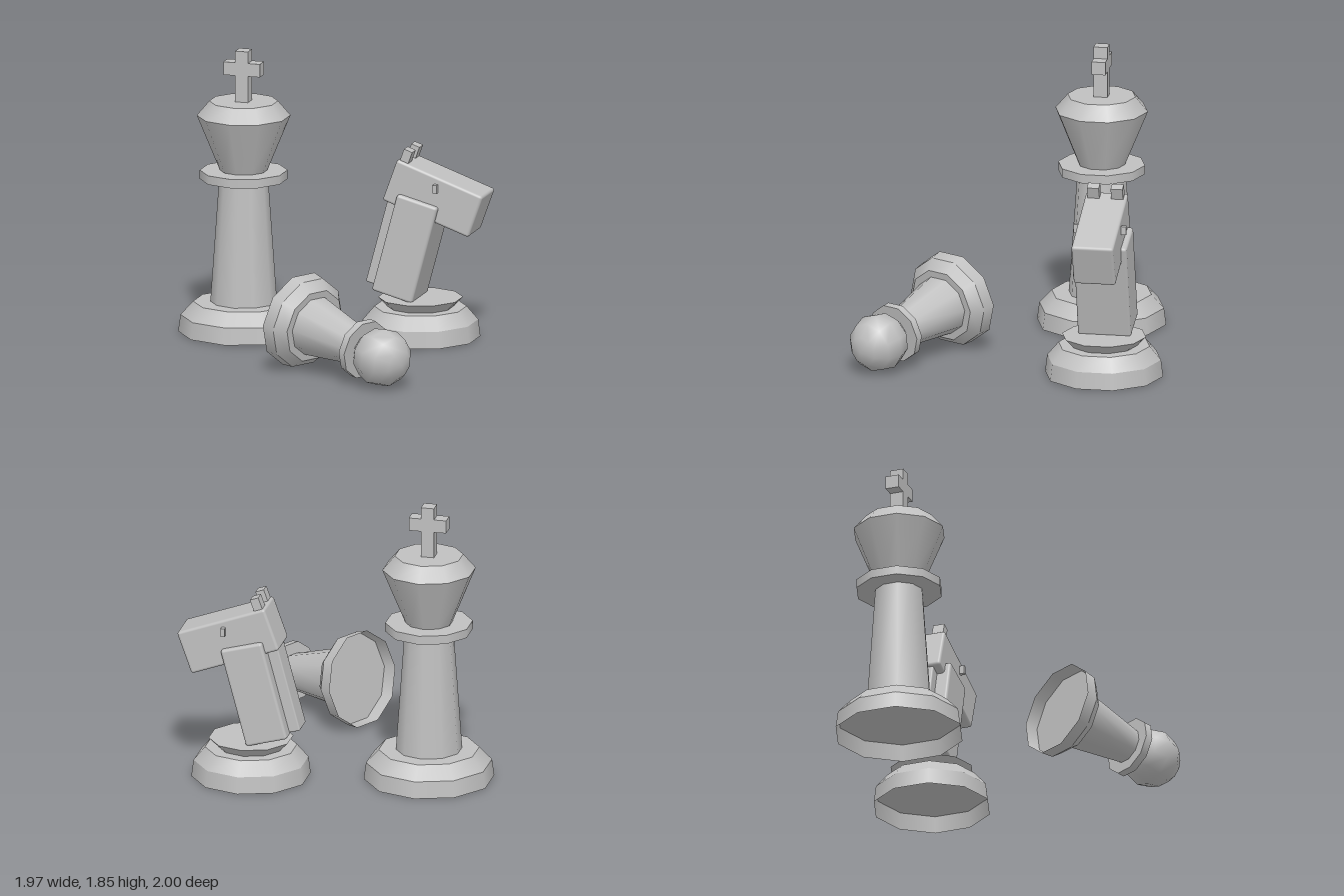
import * as THREE from 'three';
import { RoundedBoxGeometry } from 'three/addons/geometries/RoundedBoxGeometry.js';

const stone = new THREE.MeshStandardMaterial({ color: 0xc0c0c0, side: THREE.DoubleSide });
stone.name = 'stone grey';

function add(parent, name, geometry, x = 0, y = 0, z = 0, tilt = 0) {
  const mesh = new THREE.Mesh(geometry, stone);
  mesh.name = name;
  mesh.position.set(x, y, z);
  mesh.rotation.z = tilt;
  parent.add(mesh);
  return mesh;
}

// Ten-sided turned section between two heights
function turned(parent, name, y0, r0, y1, r1, open = false) {
  add(parent, name, new THREE.CylinderGeometry(r1, r0, y1 - y0, 10, 1, open), 0, (y0 + y1) / 2);
}

// Foot of a piece: nearly upright rim, hollow underneath, with a sloping shoulder
function foot(parent, r, rimHeight, height) {
  turned(parent, 'footRim', 0, r, rimHeight, r * 0.965, true);
  turned(parent, 'footShoulder', rimHeight, r * 0.965, height, r * 0.772);
}

function piece(parent, name, x, y, z) {
  const group = new THREE.Group();
  group.name = name;
  group.position.set(x, y, z);
  parent.add(group);
  return group;
}

export function createModel() {
  const model = new THREE.Group();
  model.name = 'chessPieces';

  // King
  const king = piece(model, 'king', -0.588, 0, -0.407);
  foot(king, 0.419, 0.11, 0.197);
  turned(king, 'column', 0.197, 0.213, 1.0, 0.157);
  turned(king, 'collar', 1.0, 0.281, 1.058, 0.281);
  turned(king, 'crown', 1.058, 0.152, 1.418, 0.3);
  turned(king, 'crownTop', 1.418, 0.3, 1.512, 0.22);
  add(king, 'crossUpright', new THREE.BoxGeometry(0.085, 0.345, 0.09), 0, 1.673);
  for (const s of [-1, 1])
    add(king, 'crossArm', new THREE.BoxGeometry(0.081, 0.085, 0.09), s * 0.082, 1.727);

  // Knight
  const knight = piece(model, 'knight', 0.532, 0, -0.617);
  foot(knight, 0.383, 0.11, 0.197);
  turned(knight, 'neckRing', 0.197, 0.212, 0.258, 0.272);
  const neckTilt = -0.262, headTilt = -0.345;
  add(knight, 'neck', new RoundedBoxGeometry(0.28, 0.662, 0.345, 2, 0.018), -0.056, 0.603, 0, neckTilt);
  add(knight, 'mane', new RoundedBoxGeometry(0.12, 0.635, 0.17, 2, 0.01), -0.202, 0.645, 0, neckTilt);
  add(knight, 'head', new RoundedBoxGeometry(0.612, 0.29, 0.272, 2, 0.018), 0.122, 0.94, 0, headTilt);
  for (const s of [-1, 1]) {
    add(knight, 'ear', new THREE.BoxGeometry(0.058, 0.12, 0.077), -0.067, 1.182, s * 0.077, headTilt);
    add(knight, 'eye', new THREE.BoxGeometry(0.026, 0.055, 0.05), 0.148, 1.01, s * 0.145);
  }

  // Pawn lying on its side
  const pawn = piece(model, 'pawn', 0.046, 0.315, 0.429);
  pawn.rotation.set(0, -0.511, -(Math.PI / 2 + 0.153));
  foot(pawn, 0.312, 0.085, 0.152);
  turned(pawn, 'column', 0.152, 0.195, 0.59, 0.118);
  turned(pawn, 'collar', 0.59, 0.193, 0.64, 0.193);
  add(pawn, 'ballHead', new THREE.SphereGeometry(0.19, 10, 6), 0, 0.791);

  return model;
}
